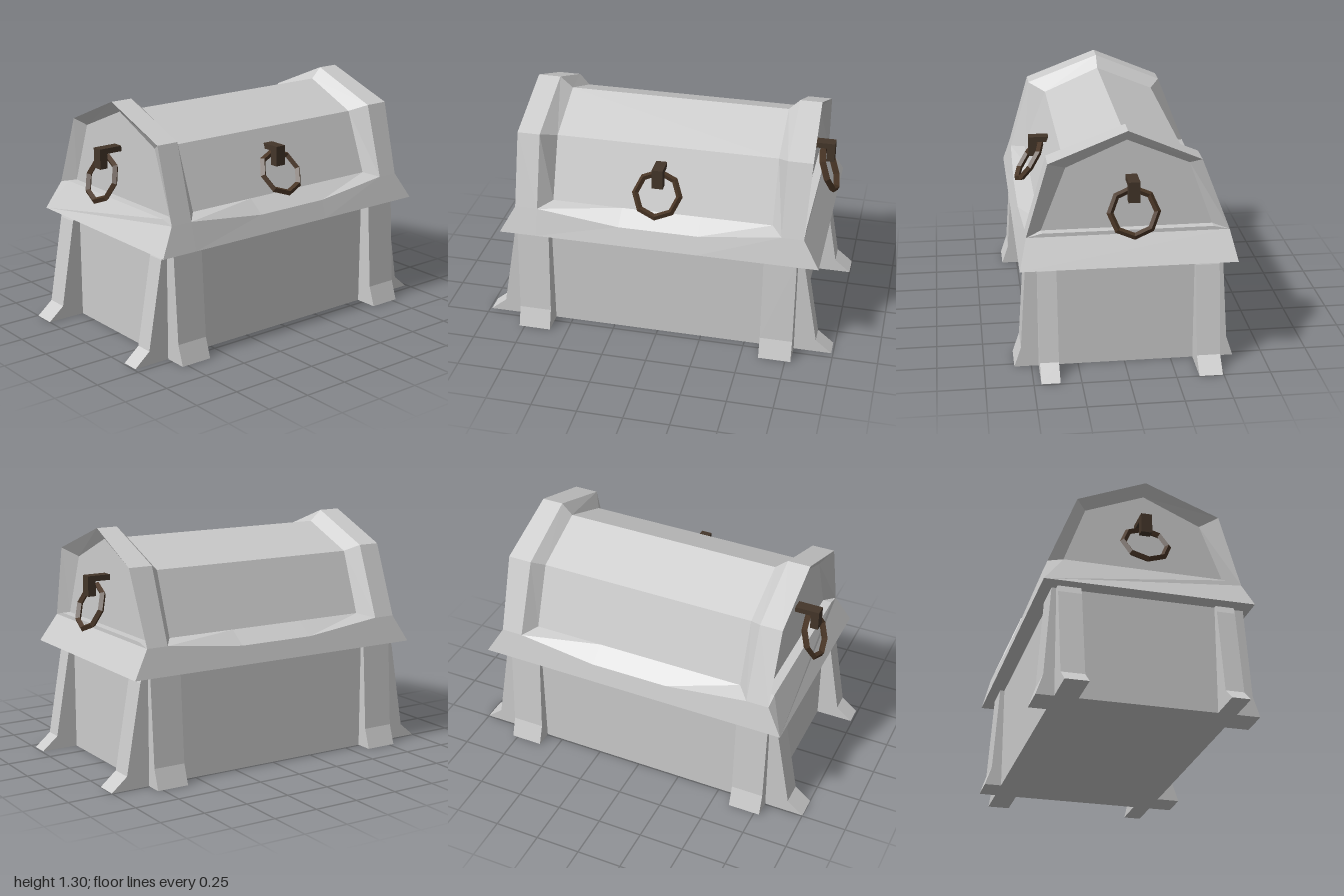
import * as THREE from 'three';

const stone = new THREE.MeshStandardMaterial({ color: 0xcccccc, flatShading: true, side: THREE.DoubleSide });
const ringMat = new THREE.MeshStandardMaterial({ color: 0x4a3626, flatShading: true });
const bracketMat = new THREE.MeshStandardMaterial({ color: 0x44362a, flatShading: true });

function add(parent, name, geometry, material = stone) {
  const mesh = new THREE.Mesh(geometry, material);
  mesh.name = name;
  parent.add(mesh);
  return mesh;
}

// Collects flat polygons and strips between rows of points
function facets() {
  const out = [];
  const poly = (pts, flip = false) => {
    const p = flip ? [...pts].reverse() : pts;
    for (let i = 1; i < p.length - 1; i++) out.push(...p[0], ...p[i], ...p[i + 1]);
  };
  const strip = (a, b, flip = false) => {
    for (let i = 0; i < a.length - 1; i++) poly([a[i], a[i + 1], b[i + 1], b[i]], flip);
  };
  const build = () => {
    const g = new THREE.BufferGeometry();
    g.setAttribute('position', new THREE.Float32BufferAttribute(out, 3));
    g.computeVertexNormals();
    return g;
  };
  return { poly, strip, build };
}

// Arch outlines, left foot over the apex to the right foot
const OUTER = [[-0.545, 0.75], [-0.39, 1.145], [-0.01, 1.305], [0.4, 1.15], [0.515, 0.75]];
const INNER = [[-0.46, 0.77], [-0.335, 1.11], [-0.01, 1.245], [0.305, 1.107], [0.435, 0.77]];
const at = (profile, z) => profile.map(([x, y]) => [x, y, z]);

function lidGeometry() {
  const f = facets();
  // Arched ribs at both ends with the sunken roof between them
  const back = at(OUTER, -0.81);
  back[1][2] = back[3][2] = -0.825;
  const rows = [at(INNER, 0.735), at(OUTER, 0.785), at(OUTER, 0.66), at(INNER, 0.59),
    at(INNER, -0.63), at(OUTER, -0.69), back, at(INNER, -0.765)];
  for (let i = 0; i < rows.length - 1; i++) f.strip(rows[i], rows[i + 1]);

  // End panels, their ledges and the flared rim below
  const [bl, br] = [-0.58, 0.555];
  for (const [panel, edge, zBottom, flip] of [[rows[0], rows[1], 0.87, false], [rows[7], rows[6], -0.9, true]]) {
    f.poly(panel, !flip);
    const z = edge[0][2];
    const a = [-0.46, 0.77, z], b = [0.435, 0.77, z];
    f.strip([edge[0], a, b, edge[4]], [panel[0], panel[0], panel[4], panel[4]], flip);
    f.poly([[bl, 0.6, zBottom], [br, 0.6, zBottom], edge[4], b, a, edge[0]], flip);
  }

  // Long sides: flared rim dipping in the middle, and the ledge to the roof
  for (const [bottomX, i, dipX, flip] of [[br, 4, 0.525, false], [bl, 0, -0.557, true]]) {
    const x = OUTER[i][0];
    const top = [[x, 0.75, 0.785], [x, 0.75, 0.66], [dipX, 0.7, 0.2],
      [dipX, 0.7, -0.24], [x, 0.75, -0.69], [x, 0.75, -0.81]];
    const bottom = [0.87, 0.66, 0.2, -0.24, -0.69, -0.9].map((z) => [bottomX, 0.6, z]);
    const roof = [0.59, 0.2, -0.24, -0.63].map((z) => [INNER[i][0], 0.77, z]);
    f.strip(bottom, top, flip);
    f.strip(top.slice(1, 5), roof, flip);
  }
  // Underside
  f.poly([[bl, 0.6, -0.9], [br, 0.6, -0.9], [br, 0.6, 0.87], [bl, 0.6, 0.87]]);
  return f.build();
}

// Flared foot post: outline is [outward, up], extruded across its width
function legGeometry(outline, width, angle) {
  const shape = new THREE.Shape(outline.map(([u, y]) => new THREE.Vector2(u, y)));
  return new THREE.ExtrudeGeometry(shape, { depth: width, bevelEnabled: false })
    .translate(0, 0, -width / 2).rotateY(angle);
}

// Ring pull: origin at the ring centre, +z points away from the chest
function handle(name, radius, tilt, bracketY, bracketZ) {
  const g = new THREE.Group();
  g.name = name;
  add(g, 'ring', new THREE.TorusGeometry(radius, 0.018, 4, 8), ringMat).rotation.x = -tilt;
  add(g, 'bracketPlate', new THREE.BoxGeometry(0.06, 0.11, 0.045), bracketMat)
    .position.set(0, bracketY, bracketZ - 0.0225);
  add(g, 'bracketArm', new THREE.BoxGeometry(0.06, 0.03, 0.14), bracketMat)
    .position.set(0, bracketY + 0.04, bracketZ - 0.07);
  return g;
}

export function createModel() {
  const model = new THREE.Group();
  model.name = 'chest';

  // Body
  add(model, 'body', new THREE.BoxGeometry(0.955, 0.605, 1.56)).position.set(-0.0175, 0.3025, 0);
  add(model, 'lid', lidGeometry());

  // Corner legs, one pair facing each end and each side
  const endLeg = [[0.74, 0], [1, 0], [0.91, 0.075], [0.825, 0.56], [0.81, 0.6], [0.74, 0.6]];
  const sideLeg = [[0.42, 0], [0.59, 0], [0.553, 0.11], [0.52, 0.6], [0.42, 0.6]];
  for (const s of [1, -1]) {
    add(model, 'endLeg', legGeometry(endLeg, 0.125, -s * Math.PI / 2)).position.x = -0.4325;
    add(model, 'endLeg', legGeometry(endLeg, 0.1, -s * Math.PI / 2)).position.set(0.411, 0, -s * 0.01);
    for (const z of [0.69, -0.69]) {
      add(model, 'sideLeg', legGeometry(sideLeg, 0.18, s > 0 ? 0 : Math.PI)).position.z = z;
    }
  }

  // Ring pulls on both ends and on one long side
  const front = handle('frontHandle', 0.122, 0.38, 0.115, 0.025);
  front.position.set(-0.033, 0.89, 0.845);
  const rear = handle('backHandle', 0.122, 0.38, 0.115, 0.025);
  rear.position.set(-0.033, 0.89, -0.87);
  rear.rotation.y = Math.PI;
  const side = handle('sideHandle', 0.122, 0.6, 0.09, 0);
  side.position.set(0.445, 0.885, 0);
  side.rotation.y = Math.PI / 2;
  model.add(front, rear, side);
  return model;
}
